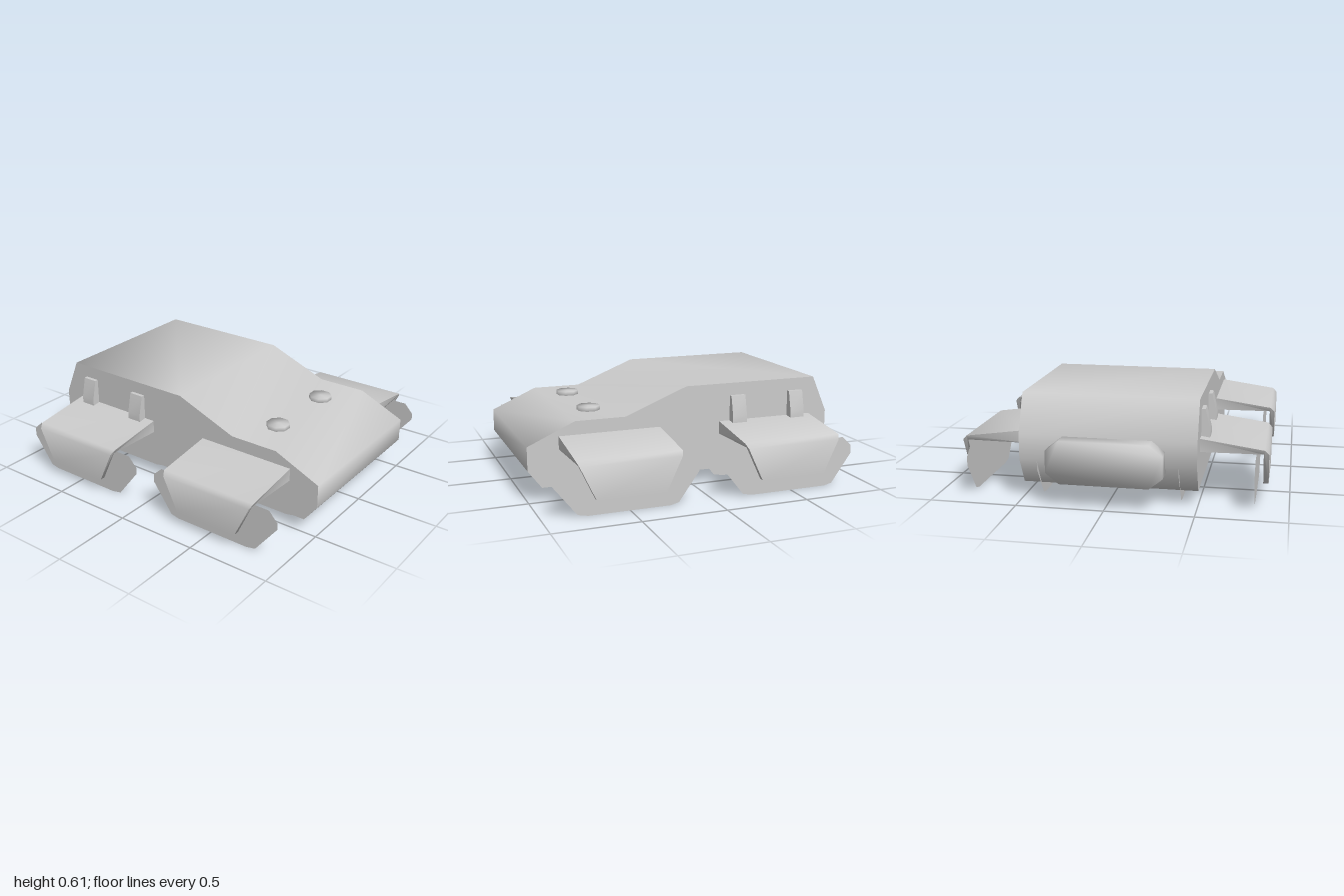
import * as THREE from 'three';
import { toCreasedNormals } from 'three/addons/utils/BufferGeometryUtils.js';

export function createModel() {
  const group = new THREE.Group();
  const solidMat = new THREE.MeshStandardMaterial({ color: 0xcccccc });
  const thinMat = new THREE.MeshStandardMaterial({ color: 0xcccccc, side: THREE.DoubleSide });

  const outline = (points) => new THREE.Shape(points.map(([a, b]) => new THREE.Vector2(a, b)));
  const add = (name, geometry, material = solidMat) => {
    const mesh = new THREE.Mesh(geometry, material);
    mesh.name = name;
    group.add(mesh);
    return mesh;
  };
  // Solid of a given depth, centred on the extrusion axis
  const prism = (points, depth) =>
    new THREE.ExtrudeGeometry(outline(points), { depth, bevelEnabled: false }).translate(0, 0, -depth / 2);

  // Hull: side profile (z, y) extruded across the width
  const hull = prism([
    [0.92, 0.085], [1, 0.19], [1, 0.33], [0.72, 0.455], [0.42, 0.455], [0.04, 0.605],
    [-0.81, 0.605], [-0.905, 0.385], [-0.905, 0.24], [-0.82, 0.085],
  ], 1).rotateY(-Math.PI / 2);
  add('hull', toCreasedNormals(hull, 1.3));

  // Rear exhaust block with chamfered corners
  const exhaust = prism([
    [-0.25, 0.14], [0.25, 0.14], [0.325, 0.2], [0.325, 0.325],
    [0.25, 0.385], [-0.25, 0.385], [-0.325, 0.325], [-0.325, 0.2],
  ], 0.15).translate(0, 0, -0.925);
  add('exhaust', toCreasedNormals(exhaust, 1.7));

  // Track plate outline (z, y) relative to the pod centre
  const plate = new THREE.ShapeGeometry(outline([
    [-0.25, 0], [0.23, 0], [0.29, 0.012], [0.43, 0.19], [0.43, 0.23], [0.375, 0.29],
    [-0.365, 0.29], [-0.425, 0.235], [-0.425, 0.185], [-0.3, 0.012],
  ])).rotateY(-Math.PI / 2);

  for (const side of [1, -1]) {
    const mirrored = (points) => points.map(([x, y]) => [x * side, y]);

    for (const [end, z] of [['front', 0.512], ['rear', -0.478]]) {
      // Fender with a hanging skirt that narrows downwards
      const fender = prism(mirrored([
        [0.48, 0.3], [0.85, 0.3], [0.85, 0.105], [0.88, 0.105],
        [0.88, 0.3], [0.855, 0.326], [0.5, 0.376], [0.48, 0.376],
      ]), 0.61);
      const pos = fender.attributes.position;
      for (let i = 0; i < pos.count; i++) {
        const y = pos.getY(i);
        if (Math.abs(pos.getX(i)) > 0.84 && y < 0.326) {
          const t = (0.326 - y) / 0.221;
          pos.setZ(i, pos.getZ(i) * (1 - 0.34 * t));
        }
      }
      add(end + 'Fender', toCreasedNormals(fender, 1.2)).position.z = z;

      // Inner and outer track plates
      for (const x of [0.4, 0.81]) add(end + 'TrackPlate', plate, thinMat).position.set(side * x, 0, z);
    }

    // Small tapered side brackets
    for (const z of [-0.288, -0.677]) {
      const bracket = prism(mirrored([
        [0.48, 0.365], [0.55, 0.365], [0.55, 0.41], [0.522, 0.53], [0.48, 0.53],
      ]), 0.092);
      add('sideBracket', toCreasedNormals(bracket, 1.2)).position.z = z;
    }

    // Deck hatch
    const hatch = new THREE.CylinderGeometry(0.07, 0.07, 0.04, 8).rotateY(Math.PI / 8);
    add('hatch', toCreasedNormals(hatch, 1.7)).position.set(side * 0.24, 0.46, 0.565);
  }
  return group;
}
